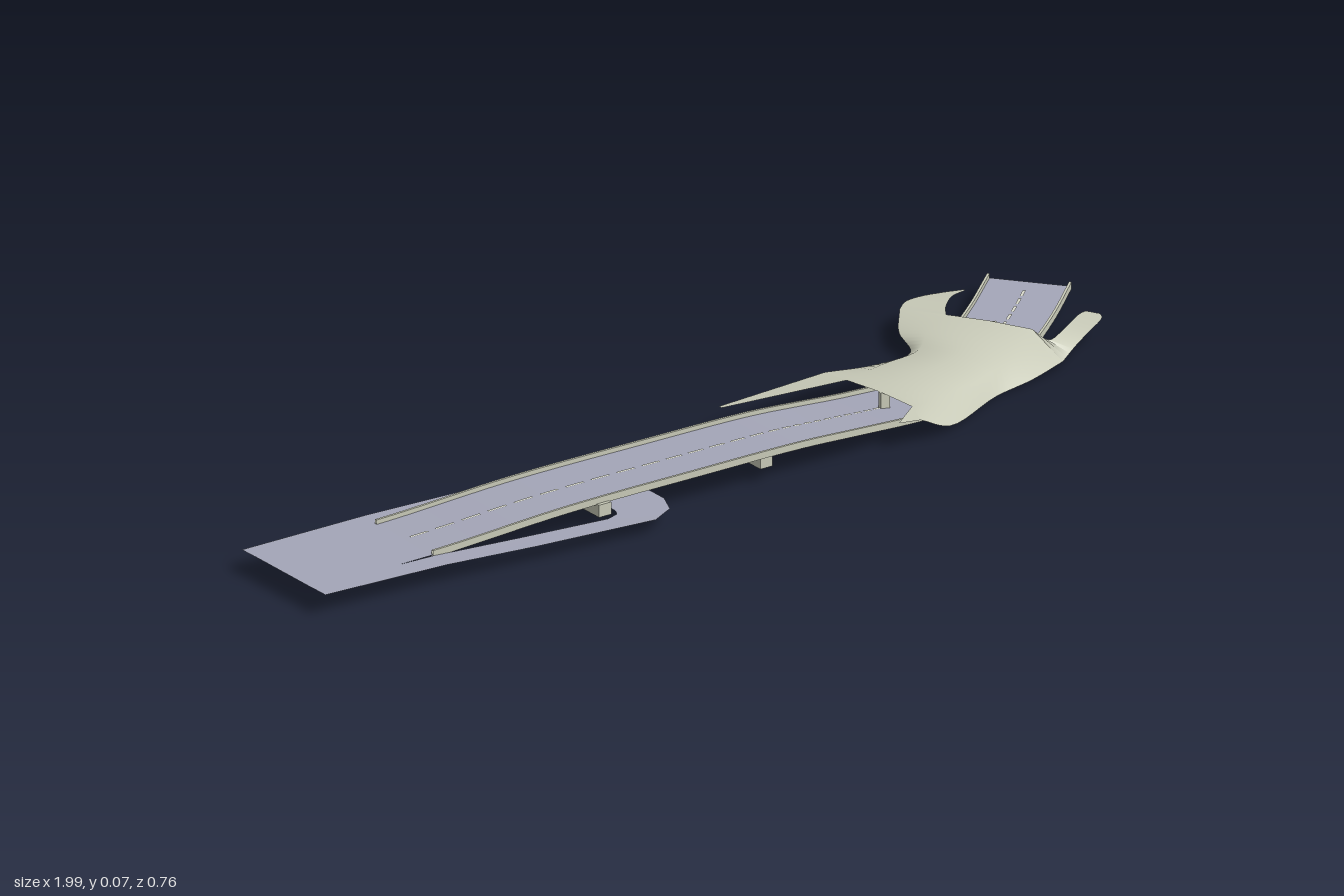
import * as THREE from 'three';

const mat = (name, color) => {
  const m = new THREE.MeshStandardMaterial({ color, side: THREE.DoubleSide });
  m.name = name;
  return m;
};
const V = (p) => new THREE.Vector3(...p);

// Surface through rows of [x, y, z] points
function sheet(rows, hard = false) {
  const cols = rows[0].length, idx = [];
  for (let i = 0; i < rows.length - 1; i++)
    for (let j = 0; j < cols - 1; j++) {
      const a = i * cols + j, b = a + 1, c = a + cols, d = c + 1;
      idx.push(a, b, c, b, d, c);
    }
  let g = new THREE.BufferGeometry();
  g.setAttribute('position', new THREE.Float32BufferAttribute(rows.flat(2), 3));
  g.setIndex(idx);
  if (hard) g = g.toNonIndexed();
  g.computeVertexNormals();
  return g;
}

// Smooths each column of a sheet lengthwise
function smoothRows(rows, n) {
  const curves = rows[0].map((_, j) => new THREE.CatmullRomCurve3(rows.map((r) => V(r[j])), false, 'centripetal'));
  return Array.from({ length: n + 1 }, (_, i) => curves.map((c) => c.getPoint(i / n).toArray()));
}

export function createModel() {
  const asphalt = mat('asphalt', 0xa4a6b8);
  const concrete = mat('concrete', 0xc9cbb9);
  const paint = mat('lanePaint', 0xd8d9cb);
  const group = new THREE.Group();
  const add = (name, geometry, material) => {
    const m = new THREE.Mesh(geometry, material);
    m.name = name;
    group.add(m);
    return m;
  };

  // Road centre line: over a low bridge, down into the tunnel and out again
  const path = new THREE.CatmullRomCurve3([
    [-0.985, 0.044, 0.237], [-0.71, 0.044, 0.208], [-0.4, 0.057, 0.172], [-0.1, 0.058, 0.138],
    [0.14, 0.056, 0.11], [0.27, 0.045, 0.087], [0.4, 0.027, 0.05], [0.52, 0.011, 0.005],
    [0.64, 0.006, -0.065], [0.745, 0.014, -0.15], [0.84, 0.026, -0.235], [0.93, 0.038, -0.328],
  ].map(V), false, 'centripetal');
  const frame = (t) => {
    const p = path.getPoint(t), d = path.getTangent(t);
    const l = Math.hypot(d.x, d.z);
    const half = 0.094 - 0.013 * t;
    return { half, at: (o, h = 0) => [p.x - (d.z / l) * o, p.y + h, p.z + (d.x / l) * o] };
  };
  const along = (t0, t1, n, row) =>
    Array.from({ length: n + 1 }, (_, i) => row(frame(t0 + ((t1 - t0) * i) / n)));

  add('mainRoad', sheet(along(0, 1, 90, (f) => [f.at(-f.half), f.at(f.half)])), asphalt);

  // Parapets with fascia on both road edges
  for (const [s, name] of [[-1, 'backParapet'], [1, 'frontParapet']]) {
    add(name, sheet(along(1 / 11, 1, 80, (f) => {
      const a = s * (f.half - 0.004), b = s * (f.half + 0.001);
      return [f.at(a, -0.005), f.at(a, 0.009), f.at(b, 0.009), f.at(b, -0.005), f.at(a, -0.005)];
    }), true), concrete);
  }

  // Dashed centre line
  const dashes = (t0, t1, n) => {
    for (let i = 0; i < n; i++) {
      const a = t0 + ((t1 - t0) * i) / n, b = a + ((t1 - t0) / n) * 0.7;
      add('laneDash', sheet(along(a, b, 3, (f) => [f.at(-0.003, 0.0015), f.at(0.003, 0.0015)])), paint);
    }
  };
  dashes(0.095, 0.55, 26);
  dashes(0.8, 0.98, 8);

  // Side ramps joined by a turning loop under the bridge: outer x, z, inner x, z, height
  const loop = [
    [-1, 0.104, -0.995, 0.146, 0.044], [-0.716, 0.068, -0.716, 0.115, 0.043], [-0.5, 0.041, -0.5, 0.085, 0.037],
    [-0.3, 0.015, -0.32, 0.062, 0.031], [-0.25, 0.013, -0.3, 0.075, 0.03], [-0.215, 0.032, -0.295, 0.09, 0.03],
    [-0.2, 0.06, -0.29, 0.1, 0.03], [-0.18, 0.15, -0.285, 0.18, 0.03], [-0.17, 0.24, -0.28, 0.25, 0.03],
    [-0.185, 0.29, -0.285, 0.265, 0.03], [-0.235, 0.325, -0.31, 0.277, 0.03], [-0.5, 0.342, -0.5, 0.29, 0.036],
    [-0.7, 0.353, -0.7, 0.302, 0.043], [-0.97, 0.372, -0.975, 0.328, 0.044],
  ];
  add('turningLoop', sheet(loop.map(([x, z, u, w, y]) => [[x, y, z], [u, y, w]])), asphalt);

  // Cross beams carrying the bridge
  for (const [x, z, len] of [[-0.32, 0.163, 0.2], [0.06, 0.12, 0.17]]) {
    const beam = add('bridgePier', new THREE.BoxGeometry(0.028, 0.025, len), concrete);
    beam.position.set(x, 0.0425, z);
    beam.rotation.y = 0.115;
  }

  // Median columns in the tunnel mouths
  for (const [x, y, z] of [[0.41, 0.041, 0.047], [0.755, 0.036, -0.158]]) {
    add('medianColumn', new THREE.BoxGeometry(0.02, 0.034, 0.01), concrete).position.set(x, y, z);
  }

  // Tunnel roof: a saddle whose flanks fall to the ground
  const roof = [
    [[0.37, 0.048, -0.11], [0.375, 0.058, -0.035], [0.4, 0.06, 0.05], [0.42, 0.058, 0.136], [0.406, 0.055, 0.195]],
    [[0.487, 0.032, -0.13], [0.48, 0.051, -0.085], [0.51, 0.055, 0], [0.535, 0.045, 0.085], [0.487, 0.015, 0.163]],
    [[0.583, 0.026, -0.163], [0.58, 0.046, -0.125], [0.615, 0.051, -0.05], [0.652, 0.038, 0.025], [0.647, 0.004, 0.056]],
    [[0.594, 0.04, -0.227], [0.63, 0.055, -0.18], [0.68, 0.056, -0.1], [0.735, 0.044, -0.03], [0.74, 0.008, 0.027]],
    [[0.636, 0.053, -0.3], [0.69, 0.061, -0.217], [0.745, 0.062, -0.15], [0.8, 0.058, -0.083], [0.818, 0.02, 0.003]],
  ];
  add('tunnelRoof', sheet(smoothRows(roof, 24)), concrete);

  // Pointed wings running out from the roof corners
  const wing = (name, rows, n) => add(name, sheet(smoothRows(rows, n)), concrete);
  wing('backEntranceWing', [[roof[0][0], roof[0][1]], [[0.107, 0.056, -0.045], [0.107, 0.056, -0.036]]], 2);
  wing('frontEntranceWing', [[roof[0][3], roof[0][4]], [[0.36, 0.06, 0.196], [0.358, 0.06, 0.2]]], 2);
  wing('backExitWing', [
    [roof[4][0], roof[4][1]],
    [[0.66, 0.055, -0.322], [0.705, 0.06, -0.247]],
    [[0.695, 0.054, -0.333], [0.738, 0.057, -0.29]],
    [[0.75, 0.05, -0.338], [0.762, 0.052, -0.313]],
    [[0.797, 0.045, -0.341], [0.797, 0.045, -0.336]],
  ], 14);
  wing('frontExitWing', [
    [roof[4][3], roof[4][4]],
    [[0.81, 0.05, -0.04], [0.86, 0.03, -0.027]],
    [[0.868, 0.046, -0.082], [0.904, 0.039, -0.056]],
    [[0.93, 0.046, -0.132], [0.958, 0.044, -0.098]],
    [[0.945, 0.046, -0.137], [0.963, 0.045, -0.115]],
  ], 14);

  return group;
}
